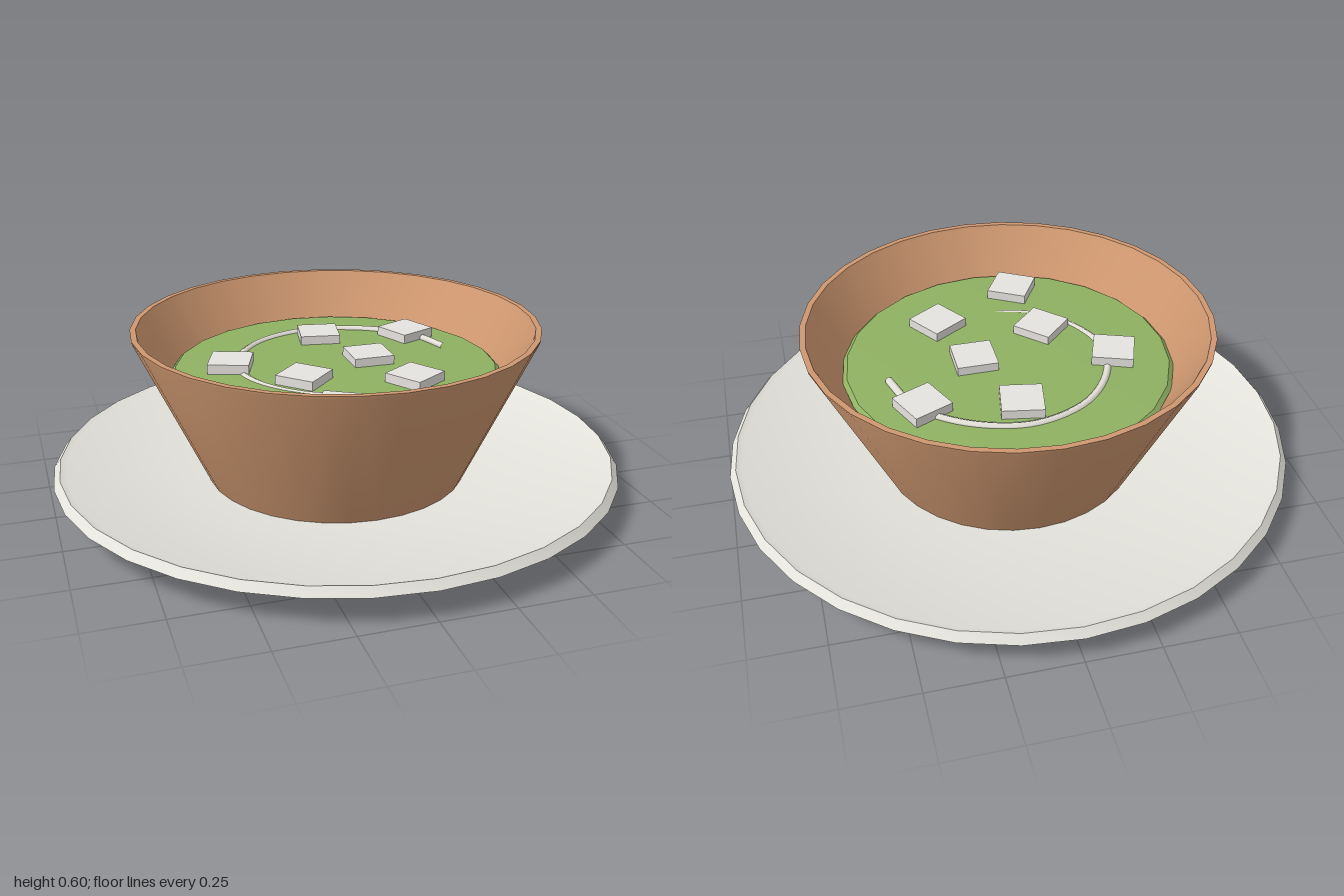
import * as THREE from 'three';
import { toCreasedNormals } from 'three/addons/utils/BufferGeometryUtils.js';

function material(name, color) {
  const m = new THREE.MeshStandardMaterial({ color });
  m.name = name;
  return m;
}

// Turned part: profile runs from the bottom centre, up the outside, to the inner centre
function turned(name, profile, segments, mat) {
  const points = profile.map(([r, y]) => new THREE.Vector2(r, y));
  const geometry = toCreasedNormals(new THREE.LatheGeometry(points, segments), 0.55);
  const mesh = new THREE.Mesh(geometry, mat);
  mesh.name = name;
  return mesh;
}

export function createModel() {
  const group = new THREE.Group();
  group.name = 'soupBowl';
  const porcelain = material('porcelain', 0xe4e3dc);
  const terracotta = material('terracotta', 0xcf9870);
  const soupGreen = material('soup green', 0x8fb162);
  const bread = material('bread', 0xe6e3df);
  const cream = material('cream', 0xf0ede4);

  // Shallow plate
  group.add(turned('plate', [
    [0, 0], [0.72, 0], [0.76, 0.02], [0.998, 0.102],
    [0.975, 0.13], [0.955, 0.122], [0.45, 0.06], [0, 0.06],
  ], 32, porcelain));

  // Flared bowl
  group.add(turned('bowl', [
    [0, 0.05], [0.453, 0.05], [0.703, 0.59], [0.705, 0.6],
    [0.685, 0.6], [0.68, 0.59], [0.4, 0.17], [0, 0.17],
  ], 32, terracotta));

  // Soup surface with a softly rounded edge
  group.add(turned('soup', [
    [0.56, 0.41], [0.575, 0.432], [0.56, 0.446], [0.4, 0.451], [0, 0.454],
  ], 24, soupGreen));

  // Cream swirl, sinking into the soup towards its end
  const path = [
    [0.425, -0.045], [0.38, -0.18], [0.32, -0.26], [0.18, -0.35], [0, -0.385],
    [-0.19, -0.315], [-0.31, -0.16], [-0.335, 0], [-0.28, 0.14], [-0.16, 0.255], [-0.03, 0.3],
  ];
  const curve = new THREE.CatmullRomCurve3(
    path.map(([x, z], i) => new THREE.Vector3(x, 0.455 - 0.0014 * i, z)));
  const swirl = new THREE.Mesh(new THREE.TubeGeometry(curve, 48, 0.014, 6), cream);
  swirl.name = 'creamSwirl';
  group.add(swirl);

  // Croutons: x, z, turn in degrees
  const croutonGeometry = new THREE.BoxGeometry(0.143, 0.04, 0.143);
  [
    [0.02, -0.28, -10], [0.34, -0.22, 24], [-0.36, -0.07, -20], [-0.155, 0.14, -45],
    [0.12, 0, 0], [0.2, 0.25, 33], [-0.115, 0.42, -30],
  ].forEach(([x, z, turn], i) => {
    const crouton = new THREE.Mesh(croutonGeometry, bread);
    crouton.name = `crouton${i + 1}`;
    crouton.position.set(x, 0.464, z);
    crouton.rotation.y = THREE.MathUtils.degToRad(turn);
    group.add(crouton);
  });

  return group;
}
